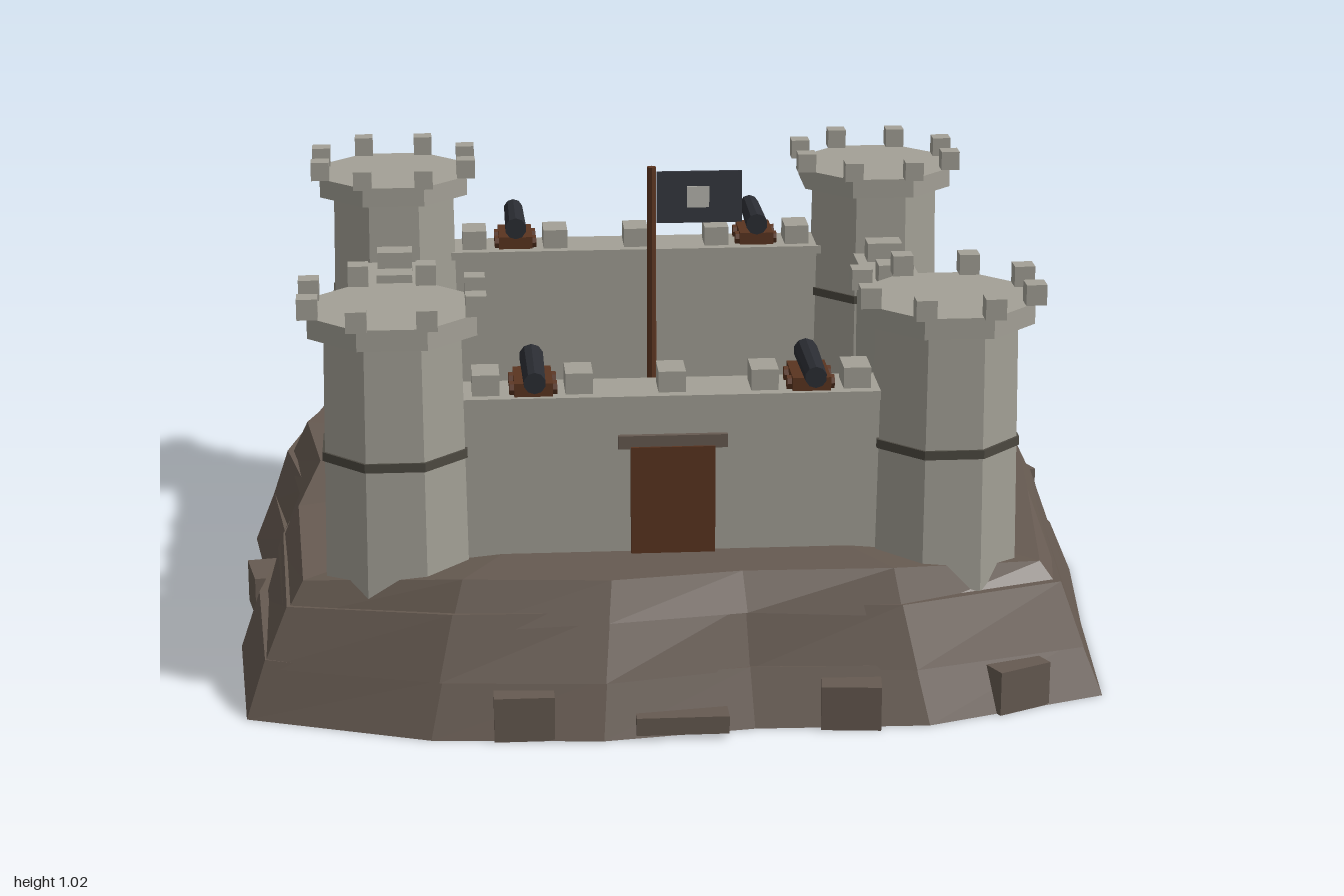
import * as THREE from 'three';

const mat = (name, color) => {
  const m = new THREE.MeshStandardMaterial({ color, flatShading: true });
  m.name = name;
  return m;
};

export function createModel() {
  const M = {
    stone: mat('stone', 0xa3a096),
    rock: mat('rock', 0x665a51),
    band: mat('dark stone band', 0x4c4941),
    sand: mat('sand', 0xb79f68),
    wood: mat('wood', 0x5a3420),
    iron: mat('iron', 0x2b2d33),
    gold: mat('gold', 0xcda733),
    oldGold: mat('old gold', 0x8f7526),
    cloth: mat('flag cloth', 0x36383f),
    pale: mat('pale cloth', 0xb9b8b0),
  };
  const model = new THREE.Group();
  model.name = 'fortress';
  const fort = new THREE.Group();
  fort.name = 'fort';
  fort.position.set(-0.02, 0, 0.005);
  model.add(fort);

  const add = (parent, name, geo, m, x = 0, y = 0, z = 0) => {
    const mesh = new THREE.Mesh(geo, m);
    mesh.name = name;
    mesh.position.set(x, y, z);
    parent.add(mesh);
    return mesh;
  };
  // box given by its centre in x and z and its lower and upper y
  const box = (parent, name, m, w, y0, y1, d, x = 0, z = 0) =>
    add(parent, name, new THREE.BoxGeometry(w, y1 - y0, d), m, x, (y0 + y1) / 2, z);
  // octagonal drum with flat sides facing the axes
  const drum = (parent, name, m, rTop, rBottom, y0, y1, x = 0, z = 0) =>
    add(parent, name, new THREE.CylinderGeometry(rTop, rBottom, y1 - y0, 8, 1, false, Math.PI / 8),
      m, x, (y0 + y1) / 2, z);

  let seed = 7;
  const rand = () => {
    seed = (seed * 16807) % 2147483647;
    return seed / 2147483647 - 0.5;
  };

  // Rock base: three stacked, jagged slabs following one outline
  const outline = [
    [-0.9, -0.74], [-0.59, -0.97], [-0.2, -0.99], [0.155, -0.91], [0.51, -0.95], [0.87, -0.745],
    [0.95, -0.35], [1, 0.01], [0.96, 0.37], [0.925, 0.8], [0.52, 0.94], [0.14, 0.93],
    [-0.19, 0.975], [-0.56, 0.945], [-0.96, 0.8], [-0.99, 0.37], [-0.94, 0], [-0.985, -0.35],
  ];
  const corners = [0, 5, 9, 14];
  const ring = (s, y, jitter, yJitter, dip) => outline.map(([x, z], i) => {
    const k = s + rand() * jitter;
    return [x * k, y + rand() * yJitter - (corners.includes(i) ? dip : 0), z * k];
  });
  const slab = (name, low, high) => {
    const pos = [];
    const n = low.length;
    const tri = (...p) => p.forEach((q) => pos.push(...q));
    const mid = (r) => [0, r.reduce((a, p) => Math.max(a, p[1]), 0), 0];
    const lowMid = [0, low[1][1], 0];
    for (let i = 0; i < n; i++) {
      const j = (i + 1) % n;
      tri(low[j], low[i], high[i]);
      tri(low[j], high[i], high[j]);
      tri(mid(high), high[j], high[i]);
      tri(lowMid, low[i], low[j]);
    }
    const g = new THREE.BufferGeometry();
    g.setAttribute('position', new THREE.Float32BufferAttribute(pos, 3));
    g.computeVertexNormals();
    add(model, name, g, M.rock);
  };
  slab('lowerRock', ring(1, 0, 0, 0, 0), ring(0.95, 0.125, 0.015, 0.015, 0));
  slab('middleRock', ring(0.955, 0.11, 0.025, 0.02, 0), ring(0.905, 0.25, 0.02, 0.02, 0.01));
  slab('upperRock', ring(0.91, 0.225, 0.02, 0.03, 0.01), ring(0.865, 0.32, 0.01, 0, 0.04));

  // Loose ledges on the rock
  box(model, 'frontLedge', M.rock, 0.2, 0.01, 0.05, 0.12, -0.02, 0.915);
  [[0.72, 0.83, -0.45], [-0.36, 0.92, 0], [0.35, 0.91, 0.1], [-0.93, 0.13, 1.4], [0.93, -0.5, 1.2]]
    .forEach(([x, z, turn]) => {
      const b = box(model, 'ledge', M.rock, 0.13, 0, 0.1, 0.09, x, z);
      b.rotation.y = -turn;
    });

  // Courtyard
  box(fort, 'courtyardFloor', M.sand, 1.16, 0.2, 0.33, 1.16);

  // Four walls with coping and merlons
  const R = 0.605;
  for (let i = 0; i < 4; i++) {
    const wall = new THREE.Group();
    wall.name = 'wall';
    wall.rotation.y = (i * Math.PI) / 2;
    fort.add(wall);
    box(wall, 'wallBody', M.stone, 1.2, 0.24, 0.66, 0.115, 0, R);
    box(wall, 'wallCoping', M.stone, 1.1, 0.66, 0.68, 0.135, 0, R);
    for (let k = -2; k <= 2; k++) {
      box(wall, 'wallMerlon', M.stone, 0.06, 0.68, 0.727, 0.085, k * 0.203, R);
    }
  }

  // Four corner towers
  for (const sx of [-1, 1]) for (const sz of [-1, 1]) {
    const tower = new THREE.Group();
    tower.name = 'tower';
    tower.position.set(sx * R, 0, sz * (R + 0.005));
    fort.add(tower);
    drum(tower, 'towerShaft', M.stone, 0.16, 0.17, 0.21, 0.83);
    drum(tower, 'towerBand', M.band, 0.17, 0.17, 0.55, 0.57);
    drum(tower, 'towerCap', M.stone, 0.197, 0.197, 0.83, 0.877);
    for (let k = 0; k < 8; k++) {
      const a = ((k + 0.5) * Math.PI) / 4;
      box(tower, 'towerMerlon', M.stone, 0.045, 0.877, 0.923, 0.045,
        0.195 * Math.cos(a), 0.195 * Math.sin(a));
    }
  }

  // Gate
  box(fort, 'gateDoor', M.wood, 0.185, 0.32, 0.565, 0.03, 0, 0.665);
  box(fort, 'gateLintel', M.rock, 0.24, 0.56, 0.59, 0.03, 0, 0.66);

  // Cannons on the front and back walls
  for (const sx of [-1, 1]) for (const facing of [0, Math.PI]) {
    const cannon = new THREE.Group();
    cannon.name = 'cannon';
    cannon.position.set(sx * 0.303, 0, 0);
    cannon.rotation.y = facing;
    fort.add(cannon);
    box(cannon, 'carriage', M.wood, 0.084, 0.685, 0.715, 0.13, 0, 0.61);
    for (const x of [-0.045, 0.045]) for (const z of [0.577, 0.643]) {
      const wheel = add(cannon, 'wheel', new THREE.CylinderGeometry(0.016, 0.016, 0.014, 8),
        M.wood, x, 0.696, z);
      wheel.rotation.z = Math.PI / 2;
    }
    const barrel = add(cannon, 'cannonBarrel', new THREE.CylinderGeometry(0.024, 0.027, 0.205, 10),
      M.iron, 0, 0.738, 0.645);
    barrel.rotation.x = Math.PI / 2;
  }

  // Casks in the courtyard
  for (const [x, z] of [[-0.185, -0.1], [0.177, -0.17]]) {
    drum(fort, 'cask', M.wood, 0.048, 0.048, 0.33, 0.44, x, z);
    for (const y of [0.355, 0.405]) drum(fort, 'caskHoop', M.iron, 0.052, 0.052, y, y + 0.012, x, z);
  }

  // Treasure chest
  box(fort, 'chestBody', M.oldGold, 0.135, 0.33, 0.39, 0.085, -0.005, 0.138);
  box(fort, 'chestLid', M.gold, 0.1, 0.39, 0.405, 0.06, -0.005, 0.138);

  // Flag
  add(fort, 'flagPole', new THREE.CylinderGeometry(0.011, 0.011, 0.7, 8), M.wood, 0, 0.675, -0.002);
  box(fort, 'flag', M.cloth, 0.2, 0.89, 1.013, 0.008, 0.112, -0.002);
  box(fort, 'flagPatch', M.pale, 0.052, 0.927, 0.978, 0.012, 0.109, -0.002);

  return model;
}
